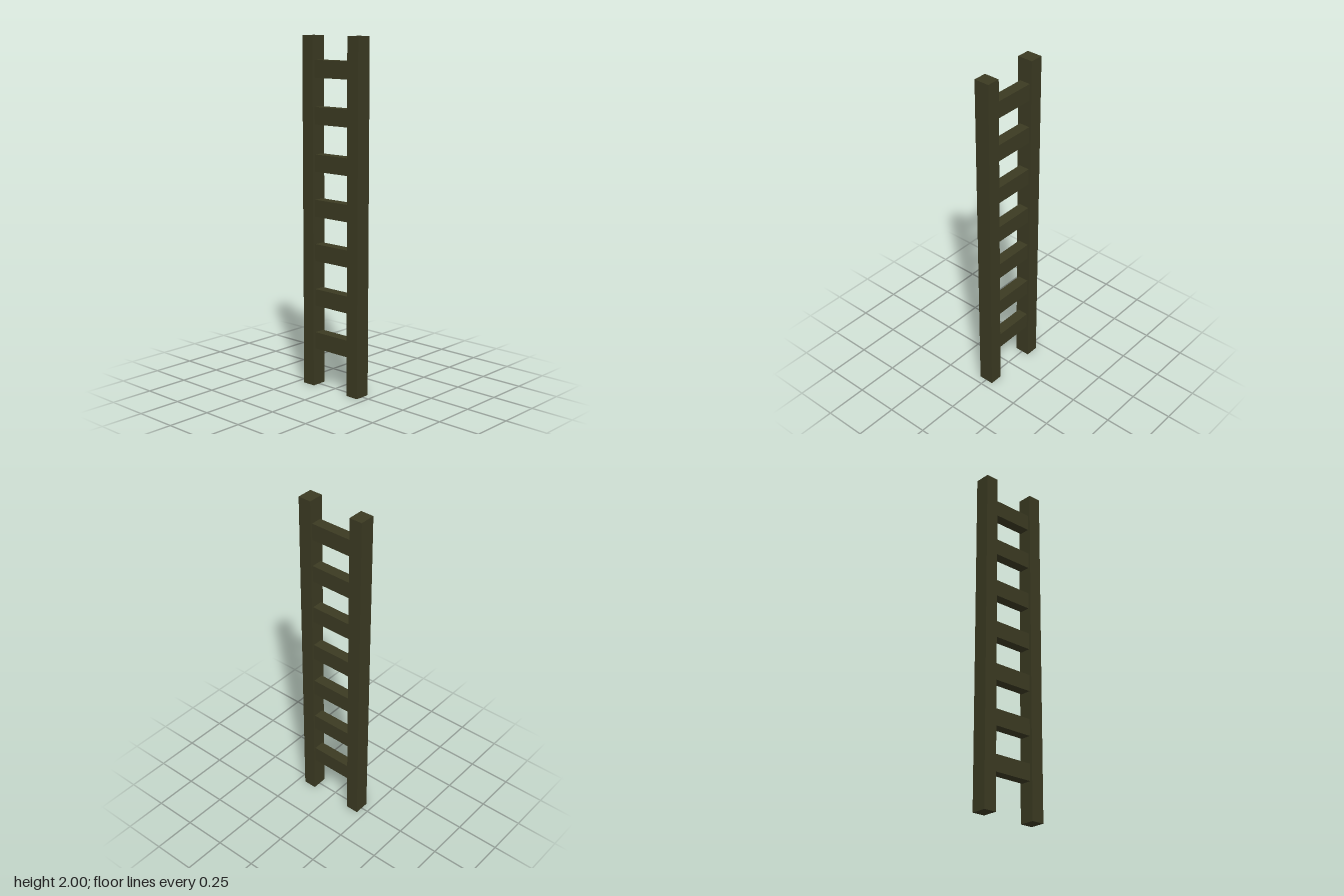
import * as THREE from 'three';

export function createModel() {
  const group = new THREE.Group();
  group.name = 'ladder';
  const wood = new THREE.MeshStandardMaterial({ color: 0x3b3a22 });
  wood.name = 'dark olive wood';

  const addBox = (name, size, position) => {
    const mesh = new THREE.Mesh(new THREE.BoxGeometry(...size), wood);
    mesh.name = name;
    mesh.position.set(...position);
    group.add(mesh);
  };

  // Upright rails, mirrored left and right
  for (const side of [-1, 1]) {
    addBox(side > 0 ? 'leftRail' : 'rightRail', [0.078, 2, 0.091], [side * 0.167, 1, 0]);
  }

  // Rungs between the rails, slightly unevenly spaced
  const rungHeights = [0.269, 0.524, 0.786, 1.041, 1.297, 1.561, 1.818];
  rungHeights.forEach((y, i) => {
    addBox(`rung${i + 1}`, [0.262, 0.097, 0.064], [0, y, -0.002]);
  });

  return group;
}
